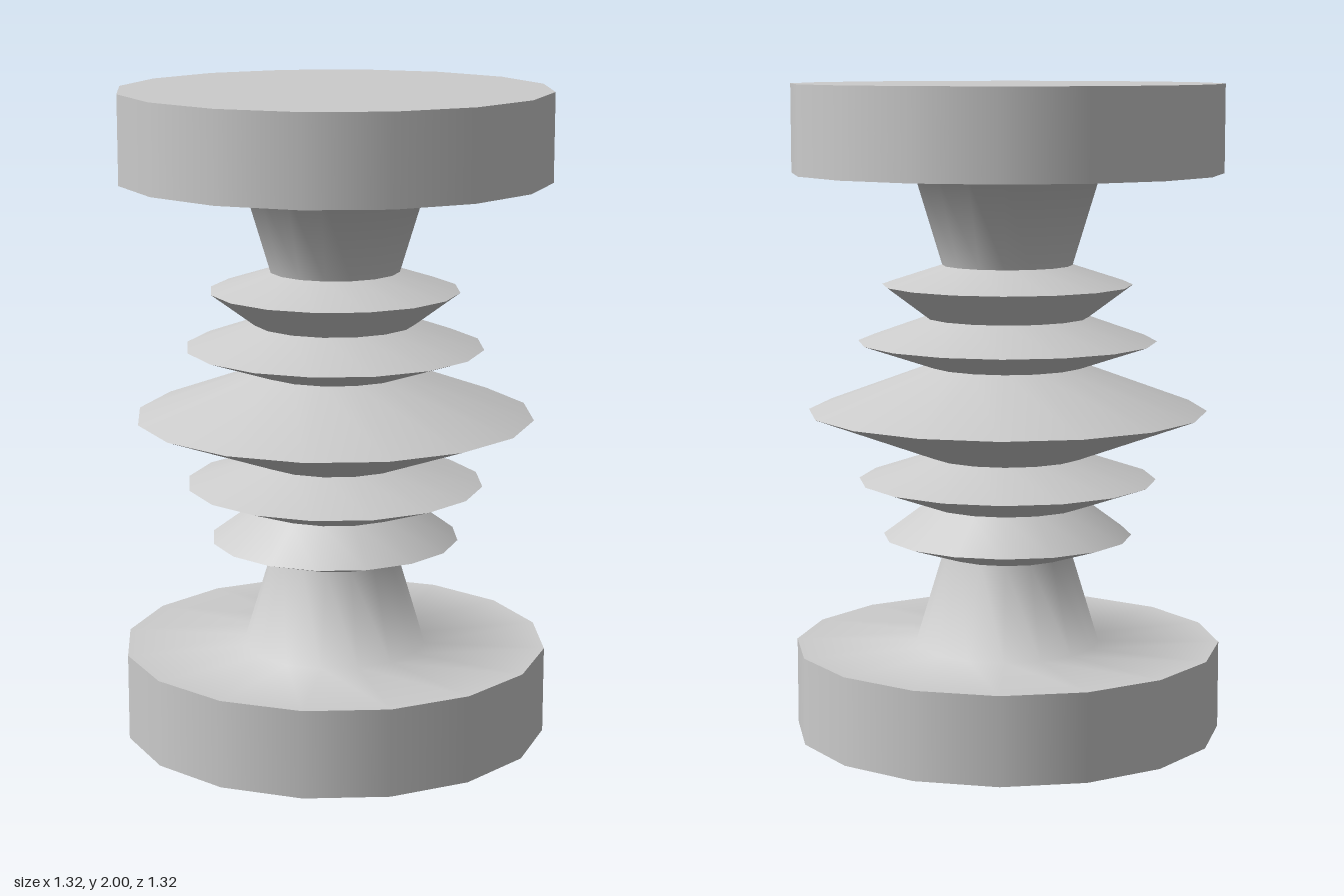
import * as THREE from 'three';
import { mergeGeometries } from 'three/addons/utils/BufferGeometryUtils.js';

const SIDES = 16;
const HEIGHT = 2;

// Lower half, listed upward. Each run of [radius, y] is smooth; edges between runs stay sharp.
const PARTS = {
  Disc: [
    [[0, 0], [0.66, 0]],
    [[0.66, 0], [0.66, 0.27]],
  ],
  // disc face flowing smoothly into the tapered neck
  Neck: [[[0.66, 0.27], [0.285, 0.27], [0.2, 0.55]]],
  OuterRing: [
    [[0.2, 0.55], [0.385, 0.61]],
    [[0.385, 0.61], [0.25, 0.71]],
  ],
  InnerRing: [
    [[0.25, 0.71], [0.46, 0.785]],
    [[0.46, 0.785], [0.24, 0.86]],
  ],
  MiddleRingHalf: [[[0.24, 0.86], [0.615, 1]]],
};

// Revolve the runs of one part; the upper copy is mirrored in height
function turnedPart(name, runs, material, upper) {
  const lathes = runs.map((run) => {
    const points = run.map(([r, y]) => new THREE.Vector2(r, upper ? HEIGHT - y : y));
    if (upper) points.reverse();
    return new THREE.LatheGeometry(points, SIDES);
  });
  const mesh = new THREE.Mesh(mergeGeometries(lathes), material);
  mesh.name = name;
  return mesh;
}

export function createModel() {
  const model = new THREE.Group();
  model.name = 'ringedSpool';
  const material = new THREE.MeshStandardMaterial({ color: 0xcccccc });

  for (const upper of [false, true]) {
    for (const [part, runs] of Object.entries(PARTS)) {
      model.add(turnedPart((upper ? 'upper' : 'lower') + part, runs, material, upper));
    }
  }
  return model;
}
